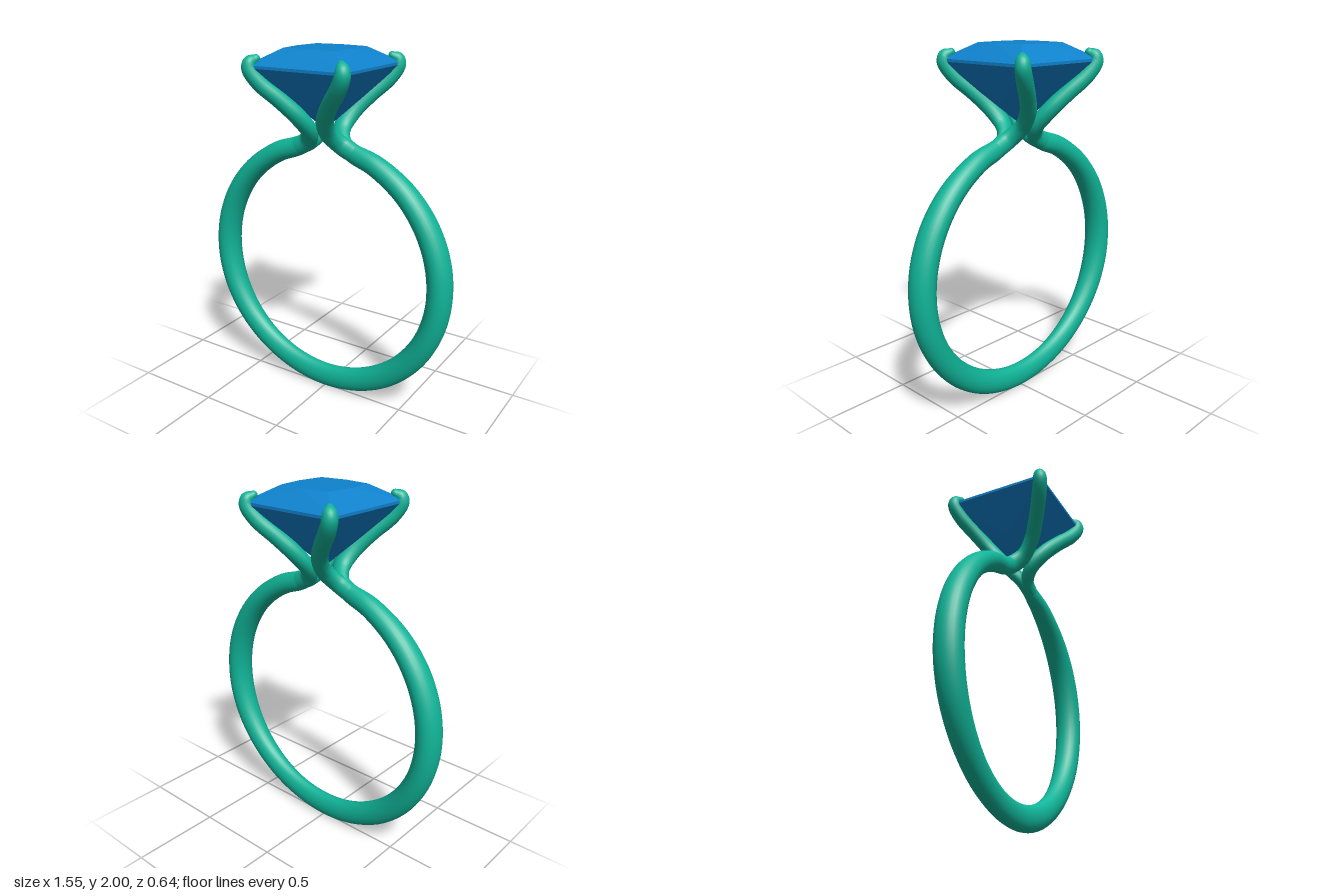
import * as THREE from 'three';
import { ConvexGeometry } from 'three/addons/geometries/ConvexGeometry.js';

const metal = new THREE.MeshStandardMaterial({ color: 0x10b498 });
const gem = new THREE.MeshStandardMaterial({ color: 0x0f82cc, flatShading: true });

// Sweeps an ellipse along keys [x, y, z, inPlaneRadius, sidewaysRadius], with domed ends
function sweep(keys, steps, sides = 24) {
  const path = new THREE.CatmullRomCurve3(keys.map((k) => new THREE.Vector3(k[0], k[1], k[2])));
  const radii = new THREE.CatmullRomCurve3(keys.map((k) => new THREE.Vector3(k[3], k[4], 0)));
  const rings = [];
  const CAP = 6;
  for (let i = CAP; i > 0; i--) rings.push([0, -(i / CAP) * Math.PI / 2]);
  for (let i = 0; i <= steps; i++) rings.push([i / steps, 0]);
  for (let i = 1; i <= CAP; i++) rings.push([1, (i / CAP) * Math.PI / 2]);

  const pos = [], index = [];
  rings.forEach(([t, dome], r) => {
    const p = path.getPoint(t), T = path.getTangent(t), rad = radii.getPoint(t);
    const B = new THREE.Vector3(0, 0, 1).addScaledVector(T, -T.z).normalize();
    const N = B.clone().cross(T);
    p.addScaledVector(T, Math.sin(dome) * Math.min(rad.x, rad.y));
    const s = Math.max(Math.cos(dome), 0.001);
    for (let j = 0; j < sides; j++) {
      const a = (j / sides) * Math.PI * 2;
      const v = p.clone()
        .addScaledVector(N, Math.cos(a) * rad.x * s)
        .addScaledVector(B, Math.sin(a) * rad.y * s);
      pos.push(v.x, v.y, v.z);
      if (r > 0) {
        const k = (j + 1) % sides, lo = (r - 1) * sides, hi = r * sides;
        index.push(lo + j, lo + k, hi + j, lo + k, hi + k, hi + j);
      }
    }
  });
  const g = new THREE.BufferGeometry();
  g.setAttribute('position', new THREE.Float32BufferAttribute(pos, 3));
  g.setIndex(index);
  g.computeVertexNormals();
  return g;
}

function add(parent, name, geometry, material) {
  const mesh = new THREE.Mesh(geometry, material);
  mesh.name = name;
  parent.add(mesh);
}

// Band: circular hoop, open at the top, both ends turning up into the neck
function bandGeometry() {
  const keys = [[-0.1, 1.506, 0, 0.042, 0.03], [-0.135, 1.482, 0, 0.05, 0.036], [-0.19, 1.457, 0, 0.054, 0.042]];
  const start = 2.03, end = Math.PI * 2 + Math.PI - start, n = 18;
  for (let i = 0; i <= n; i++) {
    const a = start + (end - start) * (i / n);
    const s = Math.sin(a);
    // widest just above the middle, slimmer at the top and bottom
    const inPlane = s > 0 ? 0.068 - 0.013 * s * s : 0.068 + 0.004 * s * s;
    const wide = s > 0 ? 0.076 - 0.032 * s ** 4 : 0.076 - 0.03 * s * s;
    keys.push([0.708 * Math.cos(a), 0.78 + 0.705 * s, 0, inPlane, wide]);
  }
  for (let i = 2; i >= 0; i--) keys.push([-keys[i][0], ...keys[i].slice(1)]);
  return sweep(keys, 150);
}

// Prong: leaves the band, bends up and out to a corner, and hooks over the stone
function prongGeometry(sx, sz) {
  const keys = [
    [0.26, 1.43, 0.002, 0.036, 0.03],
    [0.18, 1.462, 0.004, 0.05, 0.037],
    [0.105, 1.503, 0.013, 0.053, 0.038],
    [0.06, 1.572, 0.07, 0.052, 0.04],
    [0.085, 1.655, 0.136, 0.048, 0.042],
    [0.155, 1.745, 0.199, 0.045, 0.042],
    [0.235, 1.83, 0.256, 0.044, 0.042],
    [0.276, 1.9, 0.282, 0.041, 0.04],
    [0.274, 1.932, 0.278, 0.036, 0.036],
    [0.253, 1.951, 0.255, 0.021, 0.021],
  ];
  return sweep(keys.map(([x, y, z, a, b]) => [x * sx, y, z * sz, a, b]), 56, 20);
}

// Square-cut stone: table, crown, thin girdle and a faceted pavilion to a point
function stoneGeometry() {
  const pts = [new THREE.Vector3(0, 1.575, 0)];
  const corners = (h, y) => {
    for (const x of [-h, h]) for (const z of [-h, h]) pts.push(new THREE.Vector3(x, y, z));
  };
  const mids = (h, y) => {
    for (const s of [-h, h]) pts.push(new THREE.Vector3(s, y, 0), new THREE.Vector3(0, y, s));
  };
  corners(0.155, 2);
  mids(0.175, 2);
  corners(0.29, 1.918);
  corners(0.29, 1.903);
  mids(0.13, 1.7);
  return new ConvexGeometry(pts);
}

export function createModel() {
  const ring = new THREE.Group();
  ring.name = 'ring';
  add(ring, 'band', bandGeometry(), metal);

  const prongs = new THREE.Group();
  prongs.name = 'prongs';
  for (const sx of [1, -1]) {
    for (const sz of [1, -1]) {
      add(prongs, `${sz > 0 ? 'front' : 'back'}${sx > 0 ? 'Left' : 'Right'}Prong`, prongGeometry(sx, sz), metal);
    }
  }
  ring.add(prongs);

  add(ring, 'stone', stoneGeometry(), gem);
  return ring;
}
